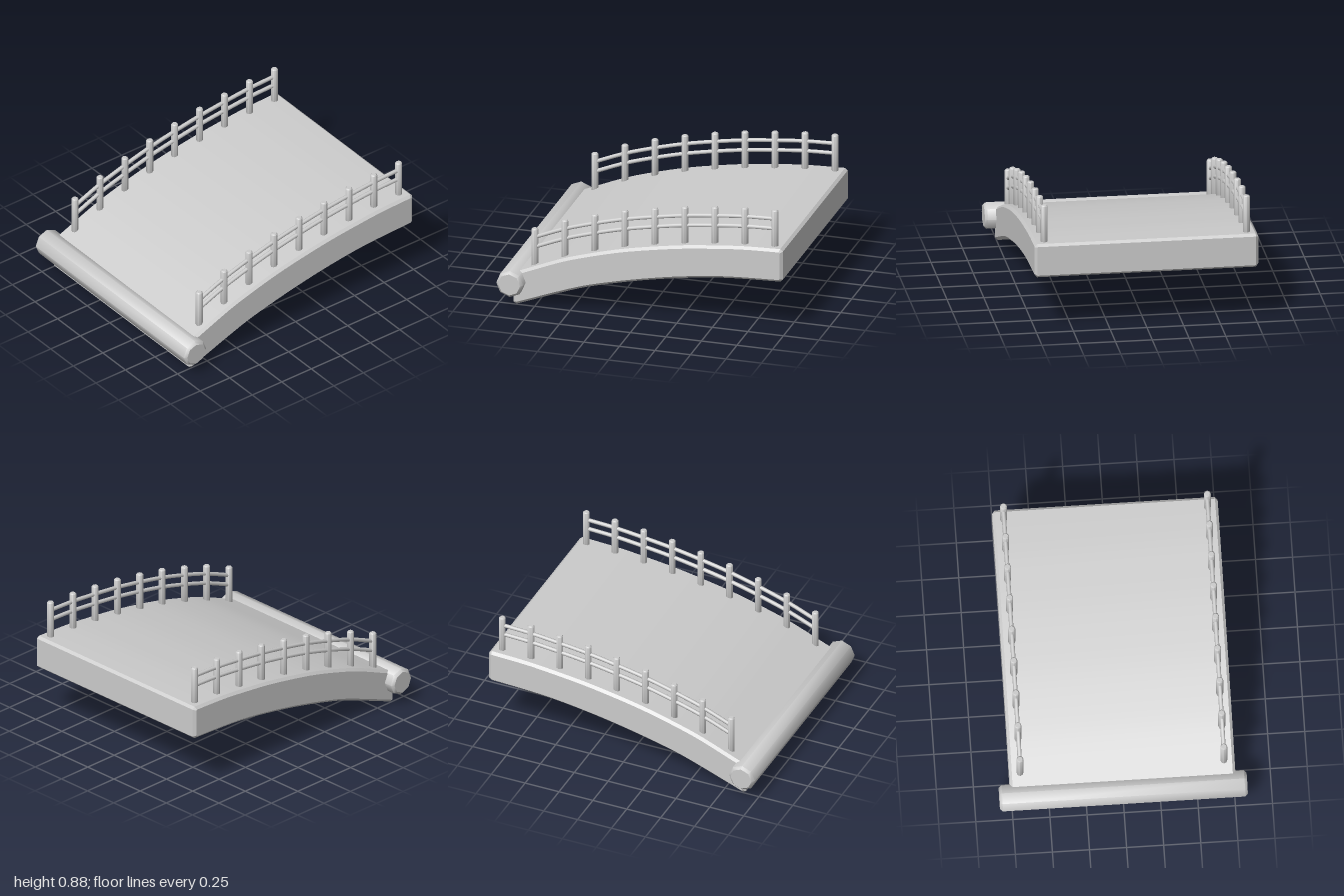
import * as THREE from 'three';
import { toCreasedNormals } from 'three/addons/utils/BufferGeometryUtils.js';

const material = new THREE.MeshStandardMaterial({ color: 0xcccccc });
const smoothRail = new THREE.MeshStandardMaterial({ color: 0xcccccc });

function curve(points) {
  return new THREE.SplineCurve(points.map(([x, y]) => new THREE.Vector2(x, y)));
}

// Walking surface and underside of the arched deck
const topCurve = curve([[-0.89, 0.237], [-0.77, 0.287], [-0.555, 0.375], [-0.34, 0.442], [-0.13, 0.497],
  [0.085, 0.54], [0.295, 0.575], [0.505, 0.6], [0.715, 0.62], [0.975, 0.63]]);
const underCurve = curve([[-0.88, 0.005], [-0.5, 0.15], [-0.3, 0.212], [0, 0.283], [0.3, 0.338], [0.6, 0.375], [0.975, 0.393]]);

// Height of the deck at a given x
function deckY(x) {
  const pts = topCurve.getPoints(120);
  const i = Math.max(1, pts.findIndex((p) => p.x >= x));
  const t = (x - pts[i - 1].x) / (pts[i].x - pts[i - 1].x);
  return THREE.MathUtils.lerp(pts[i - 1].y, pts[i].y, t);
}

function add(parent, name, geometry, mat = material) {
  const mesh = new THREE.Mesh(geometry, mat);
  mesh.name = name;
  parent.add(mesh);
  return mesh;
}

// Eight-sided round timber along y with chamfered ends
function timber(radius, y0, y1, chamfer) {
  const profile = [[0, y0], [radius - chamfer, y0], [radius, y0 + chamfer],
    [radius, y1 - chamfer], [radius - chamfer, y1], [0, y1]];
  const geometry = new THREE.LatheGeometry(profile.map(([x, y]) => new THREE.Vector2(x, y)), 8);
  return toCreasedNormals(geometry, 0.8);
}

function deckGeometry() {
  const bevel = 0.018, half = 0.76;
  const outline = [
    ...underCurve.getPoints(24),
    new THREE.Vector2(0.994, 0.41), new THREE.Vector2(0.994, 0.614),
    ...topCurve.getPoints(24).reverse(),
    new THREE.Vector2(-0.902, 0.22), new THREE.Vector2(-0.902, 0.018),
  ];
  const geometry = new THREE.ExtrudeGeometry(new THREE.Shape(outline), {
    depth: 2 * (half - bevel), bevelEnabled: true, bevelThickness: bevel,
    bevelSize: bevel, bevelOffset: -bevel, bevelSegments: 1,
  });
  geometry.translate(0, 0, bevel - half);
  return toCreasedNormals(geometry, 0.5);
}

export function createModel() {
  const model = new THREE.Group();
  model.name = 'archedBridgeHalf';

  add(model, 'deck', deckGeometry());

  // Log across the foot of the deck
  const log = add(model, 'footLog', timber(0.095, -0.835, 0.835, 0.018));
  log.rotation.x = Math.PI / 2;
  log.position.set(-0.905, 0.175, 0);

  // Matching railings on both edges
  const postXs = Array.from({ length: 9 }, (_, i) => -0.768 + i * 0.2112);
  for (const side of [1, -1]) {
    const railing = new THREE.Group();
    railing.name = side > 0 ? 'frontRailing' : 'backRailing';
    railing.position.z = side * 0.687;
    model.add(railing);

    for (const x of postXs) {
      const y = deckY(x);
      add(railing, 'post', timber(0.024, y - 0.05, y + 0.26, 0.007)).position.x = x;
    }
    for (const [name, height] of [['upperRail', 0.195], ['lowerRail', 0.124]]) {
      const path = new THREE.CatmullRomCurve3(postXs.map((x) => new THREE.Vector3(x, deckY(x) + height, 0)));
      add(railing, name, new THREE.TubeGeometry(path, 24, 0.014, 8), smoothRail);
    }
  }
  return model;
}
